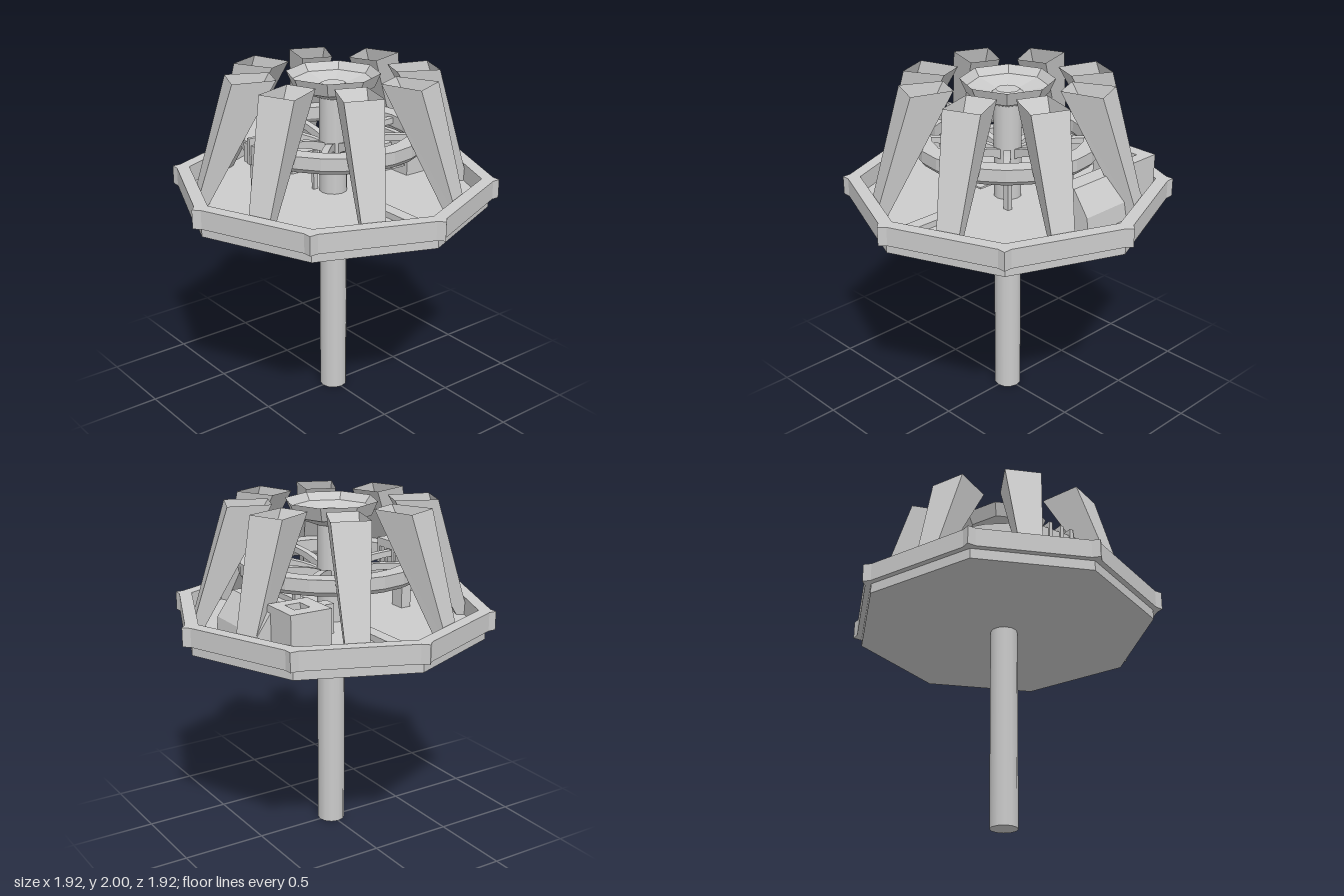
import * as THREE from 'three';

const mat = new THREE.MeshStandardMaterial({ color: 0xcccccc, flatShading: true, side: THREE.DoubleSide });
const smooth = new THREE.MeshStandardMaterial({ color: 0xcccccc });

export function createModel() {
  const root = new THREE.Group();

  function add(name, geo, x = 0, y = 0, z = 0, parent = root, m = mat) {
    const mesh = new THREE.Mesh(geo, m);
    mesh.name = name;
    mesh.position.set(x, y, z);
    parent.add(mesh);
    return mesh;
  }
  // box given by its extents
  function box(name, x0, x1, y0, y1, z0, z1, parent = root) {
    return add(name, new THREE.BoxGeometry(x1 - x0, y1 - y0, z1 - z0),
      (x0 + x1) / 2, (y0 + y1) / 2, (z0 + z1) / 2, parent);
  }
  // group turned about the vertical axis, its +z pointing outward
  function spin(name, angle) {
    const g = new THREE.Group();
    g.name = name;
    g.rotation.y = angle;
    root.add(g);
    return g;
  }
  // lathe from [radius, height] pairs
  const lathe = (pts, n) => new THREE.LatheGeometry(pts.map(p => new THREE.Vector2(...p)), n);

  // central column
  add('column', new THREE.CylinderGeometry(0.082, 0.082, 1.9, 12), 0, 0.95, 0, root, smooth);

  // octagonal deck with raised rim and corner posts
  add('deck', new THREE.CylinderGeometry(0.905, 0.905, 0.065, 8), 0, 1.2625, 0);
  add('rim', lathe([[0.86, 1.29], [0.94, 1.29], [0.94, 1.4], [0.86, 1.4], [0.86, 1.29]], 8));
  for (let i = 0; i < 8; i++) {
    const post = add('cornerPost', new THREE.BoxGeometry(0.07, 0.11, 0.07), 0, 1.345, 0.911, spin('corner', i * Math.PI / 4));
    post.rotation.y = Math.PI / 4;
  }

  // hollow leaning pylons, open at the top and tapering toward the deck
  const ring = (y, zi, wi, zo, wo) => [[-wi, y, zi], [wi, y, zi], [wo, y, zo], [-wo, y, zo]];
  const low = ring(1.29, 0.75, 0.055, 0.82, 0.06);
  const high = ring(2, 0.35, 0.09, 0.6, 0.11);
  const pos = [];
  for (let i = 0; i < 4; i++) {
    const j = (i + 1) % 4;
    // quad seen from outside, split in two triangles
    pos.push(...low[i], ...high[i], ...high[j], ...low[i], ...high[j], ...low[j]);
  }
  const pylonGeo = new THREE.BufferGeometry();
  pylonGeo.setAttribute('position', new THREE.Float32BufferAttribute(pos, 3));
  pylonGeo.computeVertexNormals();
  for (let i = 0; i < 8; i++) {
    add('pylon', pylonGeo, 0, 0, 0, spin('pylonMount', (i + 0.5) * Math.PI / 4));
  }

  // octagonal dish on top of the column
  add('dish', lathe([[0.08, 1.86], [0.235, 1.92], [0.27, 2], [0.235, 1.955], [0.09, 1.925], [0.07, 1.94], [0, 1.94]], 8));

  // suspended ring with a stepped underside
  add('ring', lathe([[0.44, 1.6], [0.46, 1.575], [0.52, 1.575], [0.54, 1.6], [0.54, 1.67], [0.44, 1.67], [0.44, 1.6]], 24));

  // bowed spokes joining column and ring
  const arch = new THREE.Shape();
  arch.moveTo(0.07, 1.54);
  arch.quadraticCurveTo(0.2, 1.62, 0.45, 1.62);
  arch.lineTo(0.45, 1.655);
  arch.quadraticCurveTo(0.2, 1.655, 0.07, 1.6);
  const spokeGeo = new THREE.ExtrudeGeometry(arch, { depth: 0.04, bevelEnabled: false, curveSegments: 6 });
  spokeGeo.translate(0, 0, -0.02);
  for (let i = 0; i < 8; i++) {
    add('spoke', spokeGeo, 0, 0, 0, spin('spokeMount', i * Math.PI / 4));
  }

  // flat beams along the deck
  for (const s of [-1, 1]) {
    add('deckBeam', new THREE.BoxGeometry(0.47, 0.04, 0.075), s * 0.595, 1.31, 0);
  }

  // front control stand: ribbed head on a bent stem
  box('standHead', -0.1, 0.14, 1.56, 1.67, 0.42, 0.55);
  for (const x of [-0.04, 0.04, 0.11]) box('standRib', x - 0.012, x + 0.012, 1.56, 1.71, 0.41, 0.56);
  box('standBack', -0.1, 0.12, 1.66, 1.71, 0.41, 0.47);
  const stem = new THREE.Shape();
  [[0.475, 1.29], [0.54, 1.29], [0.545, 1.56], [0.42, 1.56], [0.42, 1.53], [0.475, 1.46]]
    .forEach(([z, y], i) => (i ? stem.lineTo(-z, y) : stem.moveTo(-z, y)));
  const stemGeo = new THREE.ExtrudeGeometry(stem, { depth: 0.1, bevelEnabled: false });
  stemGeo.rotateY(Math.PI / 2);
  add('standStem', stemGeo, -0.05, 0, 0);

  // rear cabinet with a square shaft in its top
  const top = new THREE.Shape();
  top.moveTo(-0.58, 0.365);
  top.lineTo(-0.33, 0.365);
  top.lineTo(-0.33, 0.615);
  top.lineTo(-0.58, 0.615);
  const shaft = new THREE.Path();
  shaft.moveTo(-0.5, 0.45);
  shaft.lineTo(-0.5, 0.545);
  shaft.lineTo(-0.4, 0.545);
  shaft.lineTo(-0.4, 0.45);
  top.holes.push(shaft);
  const cabinetGeo = new THREE.ExtrudeGeometry(top, { depth: 0.27, bevelEnabled: false });
  cabinetGeo.rotateX(-Math.PI / 2);
  add('cabinet', cabinetGeo, 0, 1.29, 0);

  // sloping rear console beside the cabinet
  const wedge = new THREE.Shape();
  wedge.moveTo(0.5, 1.29);
  wedge.lineTo(0.71, 1.29);
  wedge.lineTo(0.7, 1.4);
  wedge.lineTo(0.6, 1.54);
  wedge.lineTo(0.5, 1.54);
  const wedgeGeo = new THREE.ExtrudeGeometry(wedge, { depth: 0.455, bevelEnabled: false });
  wedgeGeo.rotateY(Math.PI / 2);
  add('console', wedgeGeo, -0.37, 0, 0);
  box('consoleStep', -0.25, -0.06, 1.29, 1.47, -0.5, -0.4);

  // small shelves on thin posts near the column
  box('shelf', 0.15, 0.4, 1.51, 1.52, -0.2, -0.1);
  box('shelfPost', 0.13, 0.16, 1.29, 1.53, -0.17, -0.13);
  box('shelf', -0.17, -0.08, 1.525, 1.535, 0.05, 0.16);
  box('shelfPost', -0.09, -0.07, 1.29, 1.53, 0.06, 0.09);
  box('locker', -0.25, -0.17, 1.29, 1.47, -0.29, -0.14);

  return root;
}
